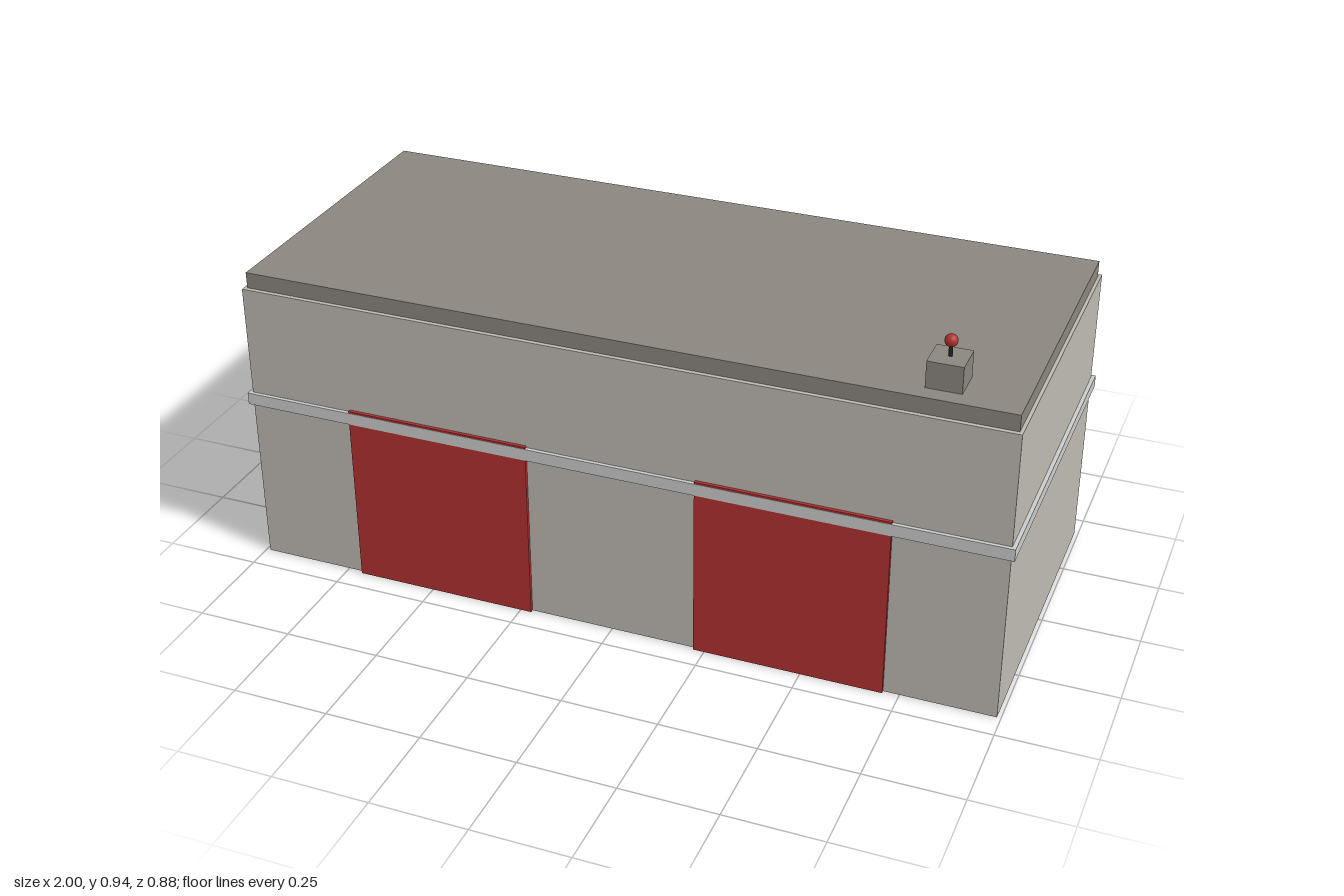
import * as THREE from 'three';

const mat = (color) => new THREE.MeshStandardMaterial({ color });

export function createModel() {
  const group = new THREE.Group();
  const wall = mat(0xbdb9b1), trim = mat(0xd3d3d0), roofGrey = mat(0x8a857e);
  const red = mat(0xb03030), dark = mat(0x222222);

  const add = (name, geometry, material, x, y, z) => {
    const mesh = new THREE.Mesh(geometry, material);
    mesh.name = name;
    mesh.position.set(x, y, z);
    group.add(mesh);
  };
  // Box given by its bottom and top heights
  const block = (name, material, w, y0, y1, d, x = 0, z = 0) =>
    add(name, new THREE.BoxGeometry(w, y1 - y0, d), material, x, (y0 + y1) / 2, z);

  // Building shell
  block('walls', wall, 1.98, 0, 0.775, 0.863);
  block('trimBand', trim, 2, 0.45, 0.482, 0.883);
  block('roof', roofGrey, 1.963, 0.775, 0.817, 0.84);

  // Garage doors, slightly proud of the front wall
  for (const side of [-1, 1]) {
    block(side > 0 ? 'leftDoor' : 'rightDoor', red, 0.488, 0, 0.487, 0.02, side * 0.465, 0.4305);
  }

  // Rooftop siren: housing, post and lamp
  const x = 0.793, z = 0.332;
  block('sirenBox', roofGrey, 0.087, 0.817, 0.885, 0.087, x, z);
  add('sirenPost', new THREE.CylinderGeometry(0.005, 0.005, 0.04, 12), dark, x, 0.9, z);
  add('sirenLamp', new THREE.SphereGeometry(0.0157, 20, 14), red, x, 0.924, z);

  return group;
}
